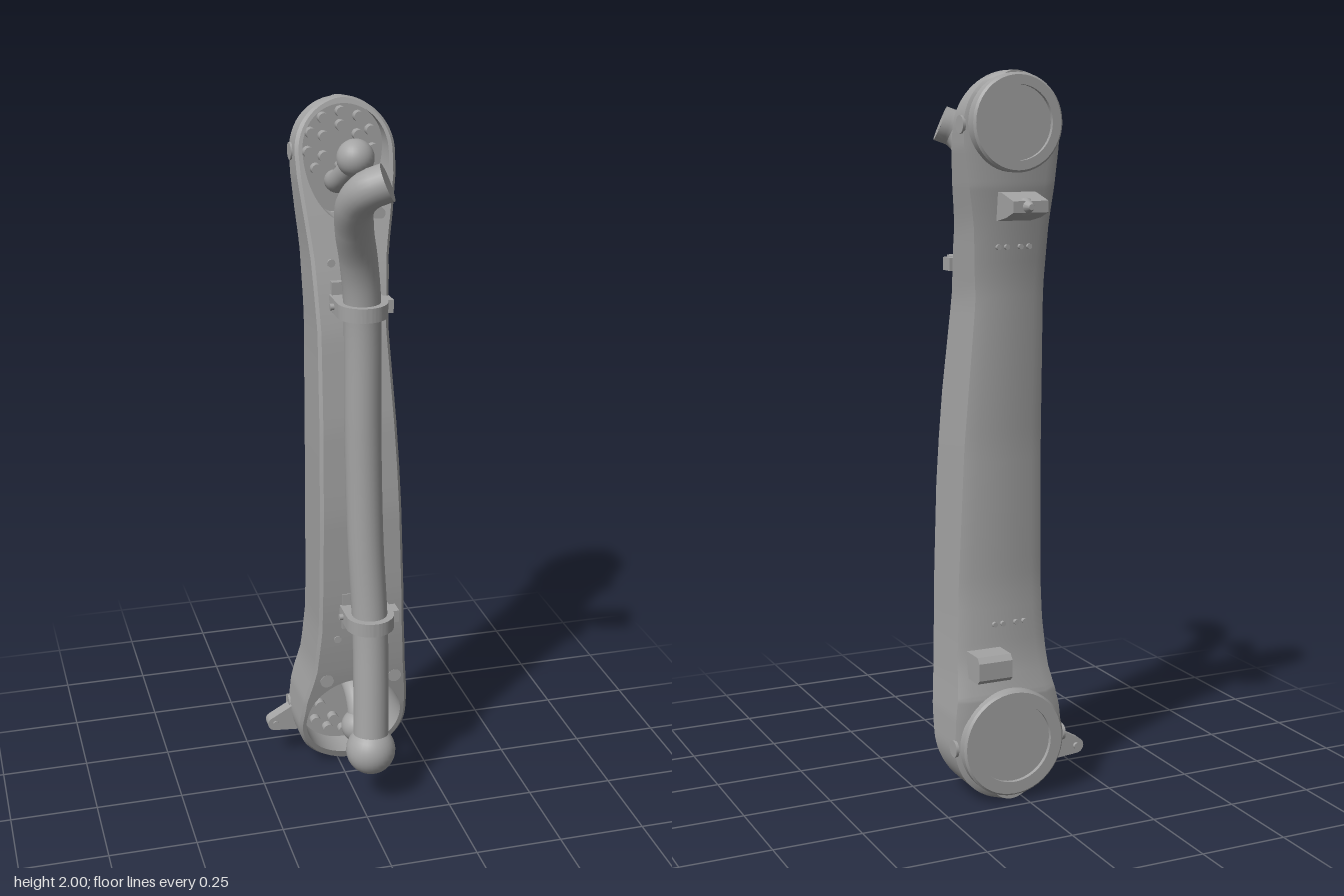
import * as THREE from 'three';
import { toCreasedNormals } from 'three/addons/utils/BufferGeometryUtils.js';

const grey = new THREE.MeshStandardMaterial({ color: 0xa3a3a3 });
grey.name = 'plain grey';

const CX = 0.034;                       // shared centre line of the end pods
const TOP = { y: 1.86, r: 0.14 }, LOW = { y: 0.165, r: 0.165 };
const TOP_FLOOR = -0.185, LOW_FLOOR = -0.165;

// Linear lookup in a short [y, value] table
function lookup(table, y) {
  for (let i = 1; i < table.length; i++) {
    const [y0, a] = table[i - 1], [y1, b] = table[i];
    if (y <= y1) return a + (b - a) * Math.max(0, (y - y0) / (y1 - y0));
  }
  return table[table.length - 1][1];
}
const frontZ = y => lookup([[0, -0.085], [0.1, -0.05], [0.2, -0.02], [0.34, 0.01], [0.46, 0.027], [0.6, 0.04], [0.87, 0.05],
  [1.13, 0.04], [1.4, 0.01], [1.53, -0.02], [1.7, -0.07], [1.88, -0.125], [2, -0.165]], y);
const backZ = y => lookup([[0, -0.2], [0.3, -0.195], [0.4, -0.17], [0.6, -0.152], [1, -0.152], [1.45, -0.172],
  [1.6, -0.19], [1.7, -0.203], [2, -0.215]], y);
const leftX = y => lookup([[0.165, -0.131], [0.25, -0.122], [0.35, -0.097], [0.5, -0.085], [1, -0.083], [1.4, -0.078],
  [1.6, -0.084], [1.7, -0.094], [1.8, -0.104], [1.86, -0.106]], y);
const rightX = y => lookup([[0.165, 0.199], [0.25, 0.195], [0.35, 0.183], [0.5, 0.172], [1, 0.148], [1.4, 0.122],
  [1.6, 0.136], [1.7, 0.155], [1.8, 0.171], [1.86, 0.174]], y);

function outline(y) {
  const end = y > TOP.y ? TOP : y < LOW.y ? LOW : null;
  if (!end) return [leftX(y), rightX(y)];
  const w = Math.sqrt(Math.max(0, end.r ** 2 - (y - end.y) ** 2));
  return [CX - w, CX + w];
}

// Half width of the open bay at height y
function bayHalf(y) {
  if (y < 1) return 0.145 * Math.sqrt(Math.max(0, 1 - ((y - 0.17) / 0.145) ** 2));
  const t = (y - 1.865) / (y > 1.865 ? 0.12 : 0.185);
  return 0.12 * Math.sqrt(Math.max(0, 1 - t * t));
}

// Curved housing lofted upward, with a bay sunk into each end
function housing() {
  const ys = [0, 0.001, 0.004, 0.009, 0.016];
  const N = 28, ease = (a, b, i) => a + (b - a) * (0.5 - 0.5 * Math.cos(Math.PI * i / N));
  for (let i = 0; i <= N; i++) ys.push(ease(0.025, 0.315, i));
  for (let i = 1; i < 30; i++) ys.push(0.315 + (1.68 - 0.315) * i / 30);
  for (let i = 0; i <= N; i++) ys.push(ease(1.68, 1.985, i));
  ys.push(1.99, 1.995, 1.998, 1.9995, 2);

  const pos = [], idx = [], K = 12;
  for (const y of ys) {
    const [l, r] = outline(y), f = frontZ(y), b = backZ(y), w = r - l;
    const c = Math.min(0.009, w * 0.1), k = Math.min(0.035, w * 0.2);
    const h = bayHalf(y), mid = h > 1e-3 ? CX : (l + r) / 2;
    const floor = h > 1e-3 ? (y < 1 ? LOW_FLOOR : TOP_FLOOR) : f;
    const ring = [[l + k, b], [l, b + 0.014], [l, f - 0.009], [l + c, f], [mid - h, f], [mid - h, floor],
      [mid + h, floor], [mid + h, f], [r - c, f], [r, f - 0.009], [r, b + 0.014], [r - k, b]];
    for (const [x, z] of ring) pos.push(x, y, z);
  }
  for (let j = 0; j < ys.length - 1; j++) for (let i = 0; i < K; i++) {
    const a = j * K + i, b = j * K + (i + 1) % K;
    idx.push(a, b, b + K, a, b + K, a + K);
  }
  const g = new THREE.BufferGeometry();
  g.setAttribute('position', new THREE.Float32BufferAttribute(pos, 3));
  g.setIndex(idx);
  return toCreasedNormals(g, 0.45);
}

export function createModel() {
  const model = new THREE.Group();
  model.name = 'handleAssembly';
  const add = (name, geo, x = 0, y = 0, z = 0) => {
    const m = new THREE.Mesh(geo, grey);
    m.name = name;
    m.position.set(x, y, z);
    model.add(m);
    return m;
  };
  const disc = (name, r, d, x, y, z) => add(name, new THREE.CylinderGeometry(r, r, d, 20).rotateX(Math.PI / 2), x, y, z);
  const ball = (name, r, p) => add(name, new THREE.SphereGeometry(r, 28, 18), ...p);
  const rod = (name, pts, r, segs = 60) => {
    const curve = new THREE.CatmullRomCurve3(pts.map(p => new THREE.Vector3(...p)));
    add(name, new THREE.TubeGeometry(curve, segs, r, 24));
    return curve;
  };

  add('housing', housing());

  // Grab bar, bent sideways at the top and ending in a ball
  const bar = rod('grabBar', [[0.04, 1.862, 0.262], [-0.005, 1.842, 0.246], [-0.026, 1.795, 0.2], [-0.015, 1.72, 0.148],
    [0.01, 1.62, 0.1], [0.026, 1.5, 0.078], [0.029, 1.13, 0.08], [0.034, 0.81, 0.093], [0.043, 0.55, 0.114],
    [0.04, 0.34, 0.14], [0.034, 0.17, 0.162]], 0.051, 100);
  const cap = add('grabBarEnd', new THREE.CircleGeometry(0.051, 24));
  cap.position.copy(bar.getPoint(0));
  cap.lookAt(cap.position.clone().sub(bar.getTangent(0)));
  ball('grabBarBall', 0.072, [0.034, 0.17, 0.162]);

  // Small ball levers standing in the bays
  rod('upperLever', [[0.034, 1.865, -0.022], [0.018, 1.82, -0.06], [0.01, 1.785, -0.11], [0.02, 1.77, -0.19]], 0.03, 24);
  ball('upperLeverBall', 0.051, [0.034, 1.865, -0.022]);
  rod('lowerLever', [[0.034, 0.17, 0.022], [0.036, 0.22, 0.005], [0.036, 0.26, -0.04], [0.034, 0.27, -0.17]], 0.03, 24);
  ball('lowerLeverBall', 0.05, [0.034, 0.17, 0.022]);

  // Clamps holding the bar to the housing
  for (const [y, x, z, d] of [[1.48, 0.027, 0.078, 0.095], [0.565, 0.043, 0.113, 0.08]]) {
    const s = new THREE.Shape();
    s.absarc(0, 0, 0.069, 0, Math.PI);
    s.lineTo(-0.069, -d);
    s.lineTo(0.069, -d);
    const g = new THREE.ExtrudeGeometry(s, { depth: 0.04, bevelEnabled: false, curveSegments: 20 }).rotateX(Math.PI / 2);
    add('clamp', toCreasedNormals(g, 0.5), x, y + 0.02, z);
    add('clampEar', new THREE.BoxGeometry(0.03, 0.036, 0.045), x + 0.073, y, z - 0.025);
    add('clampBolt', new THREE.CylinderGeometry(0.009, 0.009, 0.16, 10).rotateZ(Math.PI / 2), x, y, z - 0.04);
    add('clampPad', new THREE.BoxGeometry(0.12, 0.11, 0.03), x - 0.003, y, frontZ(y) - 0.008);
  }

  // Studs on the bay floors
  const studs = (y, z, r, rings) => {
    for (const [n, rad] of rings) for (let i = 0; i < n; i++) {
      const a = Math.PI / 2 + i * 2 * Math.PI / n;
      disc('bayStud', r, 0.03, CX + rad * Math.cos(a), y + rad * Math.sin(a), z + 0.01);
    }
  };
  studs(1.868, TOP_FLOOR, 0.015, [[11, 0.092], [6, 0.055]]);
  studs(0.17, LOW_FLOOR, 0.016, [[14, 0.112], [7, 0.075]]);

  // Round back flanges with a sunken centre
  const flange = (name, y, r, inner, z0, z1) => {
    const p = [[0, z1 - 0.012], [inner, z1 - 0.012], [inner, z1], [r - 0.006, z1], [r, z1 - 0.006], [r, z0]]
      .map(([a, b]) => new THREE.Vector2(a, b)).reverse();
    const g = new THREE.LatheGeometry(p, 48).rotateX(-Math.PI / 2);
    add(name, toCreasedNormals(g, 0.5), CX, y, 0);
  };
  flange('upperFlange', 1.865, 0.129, 0.098, 0.19, 0.237);
  flange('lowerFlange', 0.168, 0.152, 0.112, 0.18, 0.22);

  // Brackets on the back, drawn as side profiles in (z, y)
  const bracket = (name, pts, x0, w) => {
    const s = new THREE.Shape(pts.map(([z, y]) => new THREE.Vector2(-z, y)));
    add(name, new THREE.ExtrudeGeometry(s, { depth: w, bevelEnabled: false }).rotateY(Math.PI / 2), x0, 0, 0);
  };
  bracket('upperBracket', [[-0.17, 1.605], [-0.25, 1.62], [-0.293, 1.635], [-0.293, 1.665], [-0.22, 1.685], [-0.17, 1.685]], -0.024, 0.102);
  add('upperBracketTip', new THREE.CylinderGeometry(0.008, 0.024, 0.035, 12).rotateX(-Math.PI / 2), CX, 1.65, -0.295);
  bracket('lowerBracket', [[-0.15, 0.36], [-0.235, 0.36], [-0.248, 0.372], [-0.248, 0.42], [-0.235, 0.435], [-0.15, 0.435]], 0.055, 0.1);

  // Pointed side lug with its pin
  const lug = new THREE.Shape();
  lug.moveTo(-0.1, 0.085);
  lug.lineTo(-0.185, 0.092);
  lug.absarc(-0.182, 0.114, 0.022, -Math.PI / 2, -Math.PI * 1.3, true);
  lug.lineTo(-0.1, 0.185);
  add('sideLug', new THREE.ExtrudeGeometry(lug, { depth: 0.036, bevelEnabled: false, curveSegments: 8 }), 0, 0, -0.178);
  disc('lugPin', 0.009, 0.05, -0.18, 0.115, -0.162);

  // Screws on the front face and flush plugs on both sides
  for (const [x, y, r] of [[0.113, 1.7, 0.018], [0.15, 0.315, 0.02], [-0.057, 0.325, 0.02], [-0.03, 1.58, 0.011],
    [0.09, 1.56, 0.011], [0.1, 0.49, 0.011], [-0.03, 0.47, 0.011]]) {
    disc('frontScrew', r, 0.014, x, y, frontZ(y) - 0.003);
  }
  for (const y of [1.86, 0.165]) for (const x of outline(y)) {
    add('sidePlug', new THREE.CylinderGeometry(0.024, 0.024, 0.008, 20).rotateZ(Math.PI / 2), x, y, -0.178);
  }

  // Rows of tiny pins on the back
  for (const y of [1.54, 0.5]) for (const x of [-0.02, 0.005, 0.045, 0.07]) {
    disc('backPin', 0.007, 0.014, x, y, backZ(y) - 0.003);
  }
  return model;
}
